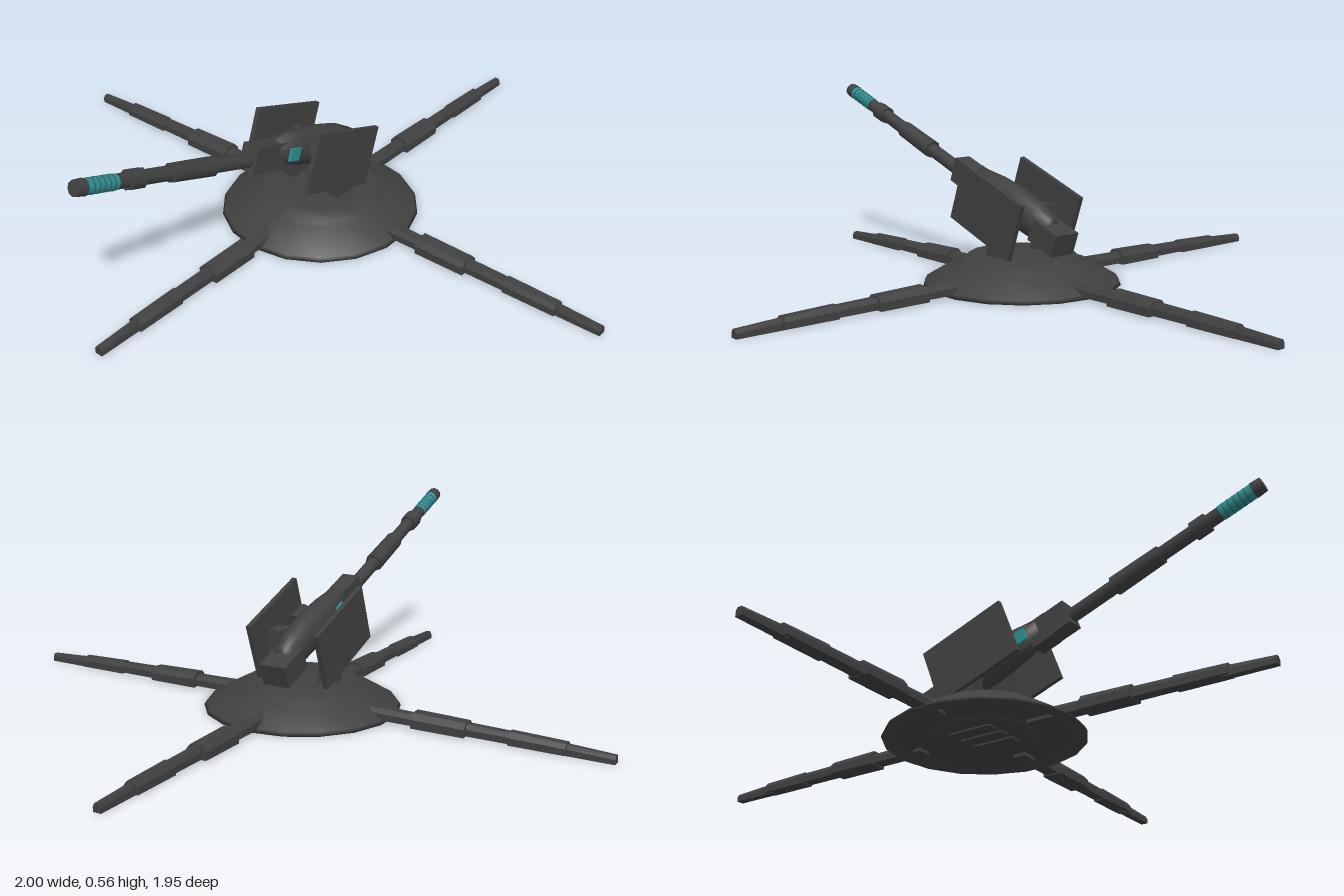
import * as THREE from 'three';

const dark = new THREE.MeshStandardMaterial({ color: 0x404040 });
dark.name = 'dark metal';
const teal = new THREE.MeshStandardMaterial({ color: 0x2a8e90 });
teal.name = 'teal glow';

function add(parent, name, geometry, material = dark, x = 0, y = 0, z = 0) {
  const m = new THREE.Mesh(geometry, material);
  m.name = name;
  m.position.set(x, y, z);
  parent.add(m);
  return m;
}

// Tube along z between two stations, with a radius at each end
function rod(parent, name, z0, z1, r0, r1 = r0, material = dark, sides = 10, x = 0, y = 0) {
  const g = new THREE.CylinderGeometry(r1, r0, z1 - z0, sides).rotateX(Math.PI / 2);
  return add(parent, name, g, material, x, y, (z0 + z1) / 2);
}

function block(parent, name, z0, z1, w, h, x = 0, y = 0, material = dark) {
  return add(parent, name, new THREE.BoxGeometry(w, h, z1 - z0), material, x, y, (z0 + z1) / 2);
}

// Leg segment: chamfered section that drops toward the tip
function legSegment(parent, name, z0, z1, w, y0, top0, top1) {
  const h = top0 - y0, a = w / 2;
  const s = new THREE.Shape([
    [-a, 0], [a, 0], [a, h * 0.6], [a * 0.55, h], [-a * 0.55, h], [-a, h * 0.6],
  ].map(p => new THREE.Vector2(...p)));
  const g = new THREE.ExtrudeGeometry(s, { depth: z1 - z0, bevelEnabled: false });
  const p = g.attributes.position, k = (top1 - y0) / h;
  for (let i = 0; i < p.count; i++) {
    if (p.getZ(i) > 0.001) p.setY(i, p.getY(i) * k);
  }
  g.computeVertexNormals();
  add(parent, name, g, dark, 0, y0, z0);
}

function makeLeg(name, angle, reach, x, z) {
  const leg = new THREE.Group();
  leg.name = name;
  legSegment(leg, 'legRoot', 0.2, 0.42, 0.045, 0.008, 0.044, 0.04);
  legSegment(leg, 'legUpperSleeve', 0.39, 0.56, 0.066, 0.004, 0.049, 0.045);
  legSegment(leg, 'legMiddle', 0.54, 0.74, 0.038, 0.006, 0.041, 0.037);
  legSegment(leg, 'legLowerSleeve', 0.69, 0.86, 0.045, 0.003, 0.041, 0.036);
  legSegment(leg, 'legTip', 0.84, 1.0, 0.025, 0, 0.033, 0.025);
  leg.position.set(x, 0, z);
  leg.rotation.y = angle;
  leg.scale.z = reach;
  return leg;
}

export function createModel() {
  const model = new THREE.Group();
  model.name = 'turret';

  // Stepped base disc with a hollow underside
  const base = new THREE.Group();
  base.name = 'base';
  base.position.set(0.005, 0, 0.03);
  model.add(base);
  const profile = [[0, 0.018], [0.25, 0.018], [0.27, 0], [0.307, 0], [0.3, 0.012], [0.22, 0.06],
    [0.192, 0.064], [0.165, 0.09], [0, 0.09]].map(p => new THREE.Vector2(...p));
  add(base, 'baseDisc', new THREE.LatheGeometry(profile, 18));
  add(base, 'undersideHub', new THREE.CylinderGeometry(0.16, 0.15, 0.01, 8), dark, 0, 0.014, 0);
  for (const x of [-0.06, 0, 0.06]) {
    add(base, 'undersidePlate', new THREE.BoxGeometry(0.04, 0.008, 0.14), dark, x, 0.008, 0);
  }

  // Four spread legs
  model.add(makeLeg('frontLeg', 0, 0.955, 0.005, 0));
  model.add(makeLeg('leftLeg', Math.PI / 2, 1, 0, 0.022));
  model.add(makeLeg('backLeg', Math.PI, 0.975, 0.007, 0));
  model.add(makeLeg('rightLeg', -Math.PI / 2, 1, 0, 0.016));

  // Upright brackets that carry the shields
  for (const s of [-1, 1]) {
    block(model, 'bracket', 0, 0.072, 0.045, 0.15, s * 0.09, 0.16);
  }

  // Gun, tilted upward
  const gun = new THREE.Group();
  gun.name = 'gun';
  gun.position.set(0, 0.225, 0.065);
  gun.rotation.x = -0.345;
  model.add(gun);

  for (const s of [-1, 1]) {
    block(gun, 'shield', -0.147, 0.147, 0.015, 0.187, s * 0.118, 0.003);
  }

  // Tall rounded receiver that narrows forward, and the tail
  const body = [[0, -0.17], [0.034, -0.165], [0.047, -0.1], [0.05, 0], [0.044, 0.1],
    [0.032, 0.19], [0, 0.19]].map(p => new THREE.Vector2(...p));
  const receiver = new THREE.LatheGeometry(body, 12).rotateX(Math.PI / 2).scale(1, 1.25, 1);
  add(gun, 'receiver', receiver, dark, 0, 0.01, 0);
  block(gun, 'tail', -0.235, -0.12, 0.088, 0.072, -0.005, -0.005);
  for (const s of [-1, 1]) {
    block(gun, 'tealPanel', 0.11, 0.153, 0.008, 0.04, s * 0.04, 0.005, teal);
  }
  rod(gun, 'sideKnob', 0, 0.07, 0.026, 0.026, dark, 8, 0.048, 0.03);

  // Barrel assembly, hung slightly below the receiver's axis
  const barrel = new THREE.Group();
  barrel.name = 'barrelAssembly';
  barrel.position.y = -0.01;
  gun.add(barrel);
  block(barrel, 'frontBlock', 0.155, 0.225, 0.056, 0.085, 0, 0.006);
  block(barrel, 'frontCollar', 0.215, 0.295, 0.058, 0.08, 0, 0.006);
  rod(barrel, 'barrelTube', 0.28, 0.82, 0.022, 0.021);
  rod(barrel, 'barrelSleeve', 0.45, 0.615, 0.03, 0.028, dark, 8);
  rod(barrel, 'barrelRing', 0.725, 0.775, 0.029, 0.029, dark, 8);

  // Glowing muzzle with thin dark rings
  rod(barrel, 'muzzleGlow', 0.818, 0.925, 0.0225, 0.0225, teal);
  for (let i = 0; i < 5; i++) {
    const z = 0.832 + i * 0.018;
    rod(barrel, 'muzzleRing', z, z + 0.002, 0.0232);
  }
  rod(barrel, 'muzzleTip', 0.925, 0.957, 0.024, 0.022);
  return model;
}
